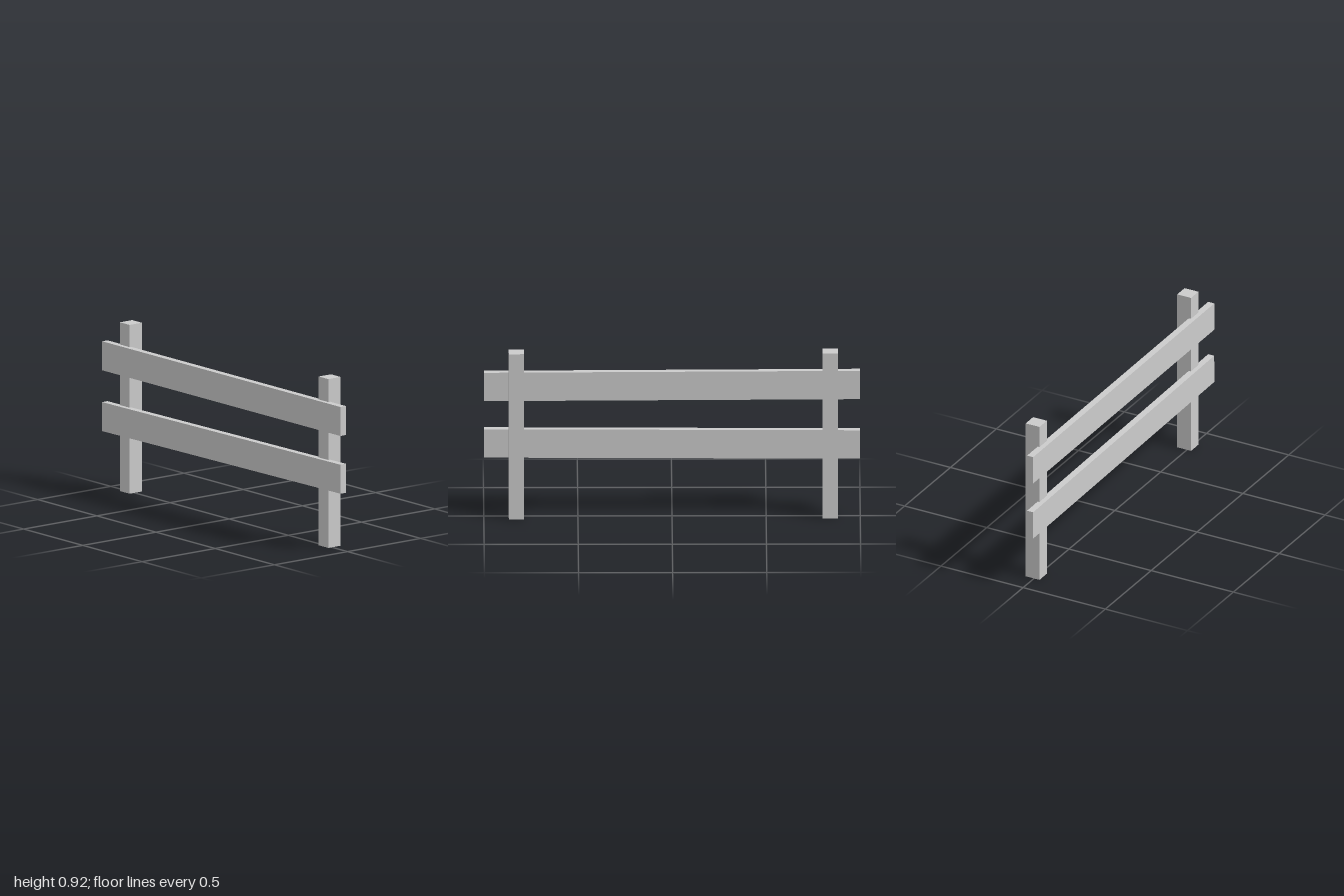
import * as THREE from 'three';

export function createModel() {
  const group = new THREE.Group();
  const material = new THREE.MeshStandardMaterial({ color: 0xcccccc, flatShading: true });

  function addBoard(name, size, position, yaw = 0, roll = 0) {
    const mesh = new THREE.Mesh(new THREE.BoxGeometry(...size), material);
    mesh.name = name;
    mesh.position.set(...position);
    mesh.rotation.set(0, yaw, roll);
    group.add(mesh);
  }

  // Upright square posts, the left one set slightly further back
  const postSize = [0.081, 0.92, 0.084];
  addBoard('rightPost', postSize, [-0.841, 0.46, -0.0085]);
  addBoard('leftPost', postSize, [0.827, 0.46, -0.0175]);

  // Rails on the front of the posts, each a little out of level
  const railSize = [1.998, 0.158, 0.037];
  const yaw = 0.0066;
  addBoard('upperRail', railSize, [0, 0.718, 0.0355], yaw, -0.0025);
  addBoard('lowerRail', railSize, [0, 0.395, 0.0355], yaw, 0.006);

  return group;
}
